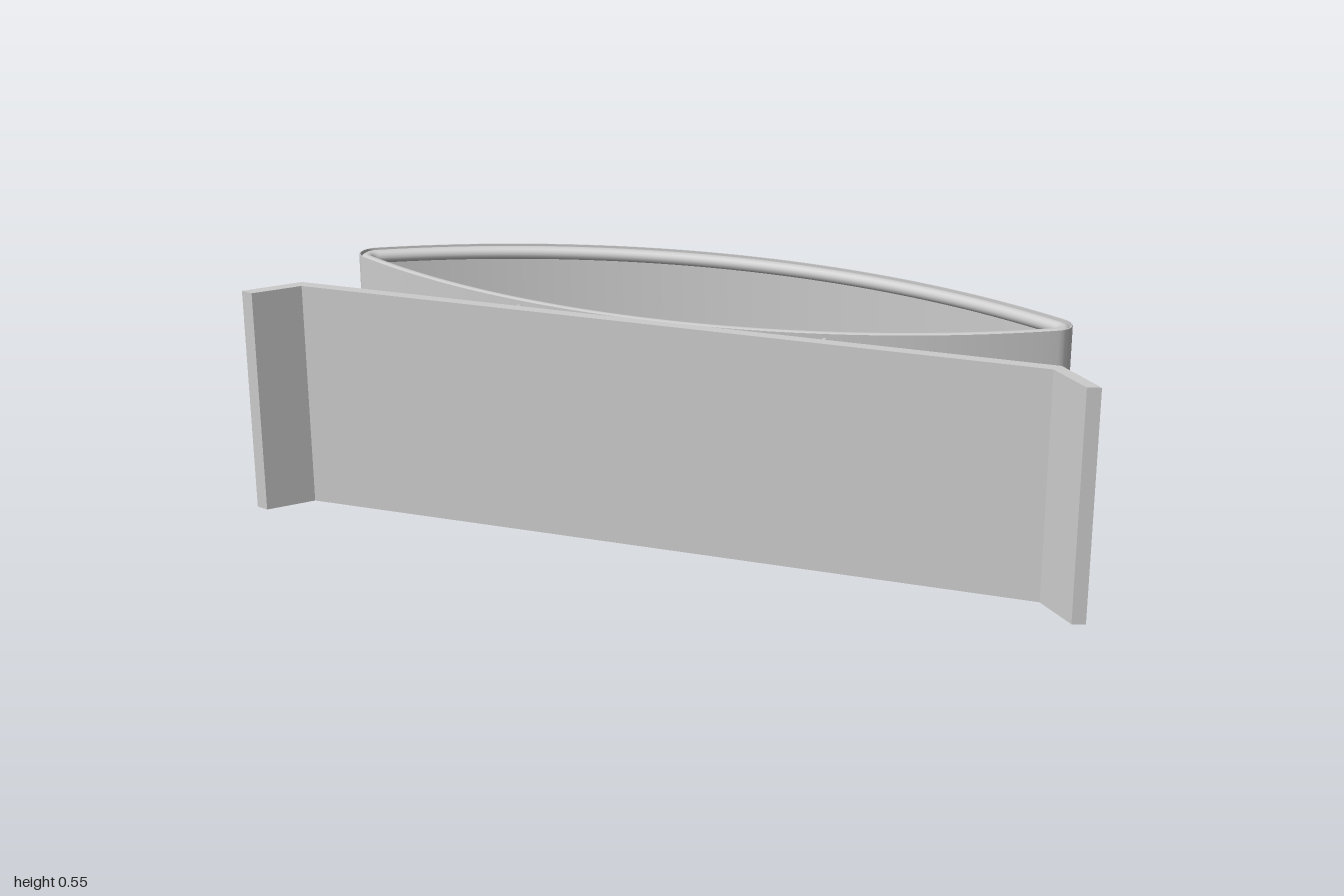
import * as THREE from 'three';
import { toCreasedNormals } from 'three/addons/utils/BufferGeometryUtils.js';

const material = new THREE.MeshStandardMaterial({ color: 0xcccccc });

// Lens outline in (x, z): two shallow arcs joined by small round tips, offset inwards by inset
const BIG = 1.73, TIP = 0.045, RISE = 0.2635, MID_Z = -0.0585;
const ARC_Z = RISE - BIG;
const TIP_X = Math.sqrt((BIG - TIP) ** 2 - ARC_Z ** 2);
const HALF = Math.atan2(TIP_X, -ARC_Z);

function lensOutline(inset) {
  const points = [];
  const arc = (cx, cz, r, from, to, steps) => {
    for (let i = 0; i < steps; i++) {
      const a = from + (to - from) * i / steps;
      points.push(new THREE.Vector2(cx + r * Math.cos(a), MID_Z + cz + r * Math.sin(a)));
    }
  };
  const q = Math.PI / 2;
  arc(TIP_X, 0, TIP - inset, HALF - q, q - HALF, 16);
  arc(0, ARC_Z, BIG - inset, q - HALF, q + HALF, 48);
  arc(-TIP_X, 0, TIP - inset, q + HALF, 3 * q - HALF, 16);
  arc(0, -ARC_Z, BIG - inset, 3 * q - HALF, 3 * q + HALF, 48);
  return points;
}

// Extrudes an (x, z) shape upwards from bottom to top
function extrudeUp(shape, bottom, top) {
  const geometry = new THREE.ExtrudeGeometry(shape, { depth: top - bottom, bevelEnabled: false });
  geometry.rotateX(Math.PI / 2).translate(0, top, 0);
  return geometry;
}

export function createModel() {
  const model = new THREE.Group();
  model.name = 'lensBandOnPlate';
  const add = (name, geometry) => {
    const mesh = new THREE.Mesh(geometry, material);
    mesh.name = name;
    model.add(mesh);
    return mesh;
  };

  // Front plate with both ends bent forwards
  const right = [[0.885, 0.237], [0.97, 0.322], [1, 0.313], [0.898, 0.21]];
  const left = right.map(([x, z]) => [-x, z]).reverse();
  const plate = new THREE.Shape([...right, ...left].map(p => new THREE.Vector2(...p)));
  add('frontPlate', extrudeUp(plate, 0, 0.548));

  // Thin lens-shaped band
  const band = new THREE.Shape(lensOutline(0));
  band.holes.push(new THREE.Path(lensOutline(0.003)));
  add('band', toCreasedNormals(extrudeUp(band, 0.003, 0.545), 0.5));

  // Round rim wires inside the band, and pins holding them to the plate
  for (const [level, y] of [['lower', 0.021], ['upper', 0.528]]) {
    const path = new THREE.CatmullRomCurve3(
      lensOutline(0.0185).map(p => new THREE.Vector3(p.x, y, p.y)), true);
    add(level + 'Rim', new THREE.TubeGeometry(path, 300, 0.016, 16, true));
    for (const side of [-1, 1]) {
      const pin = new THREE.CylinderGeometry(0.008, 0.008, 0.065, 16).rotateX(Math.PI / 2);
      add(level + (side > 0 ? 'Left' : 'Right') + 'Pin', pin).position.set(side * 0.364, y, 0.1785);
    }
  }
  return model;
}
